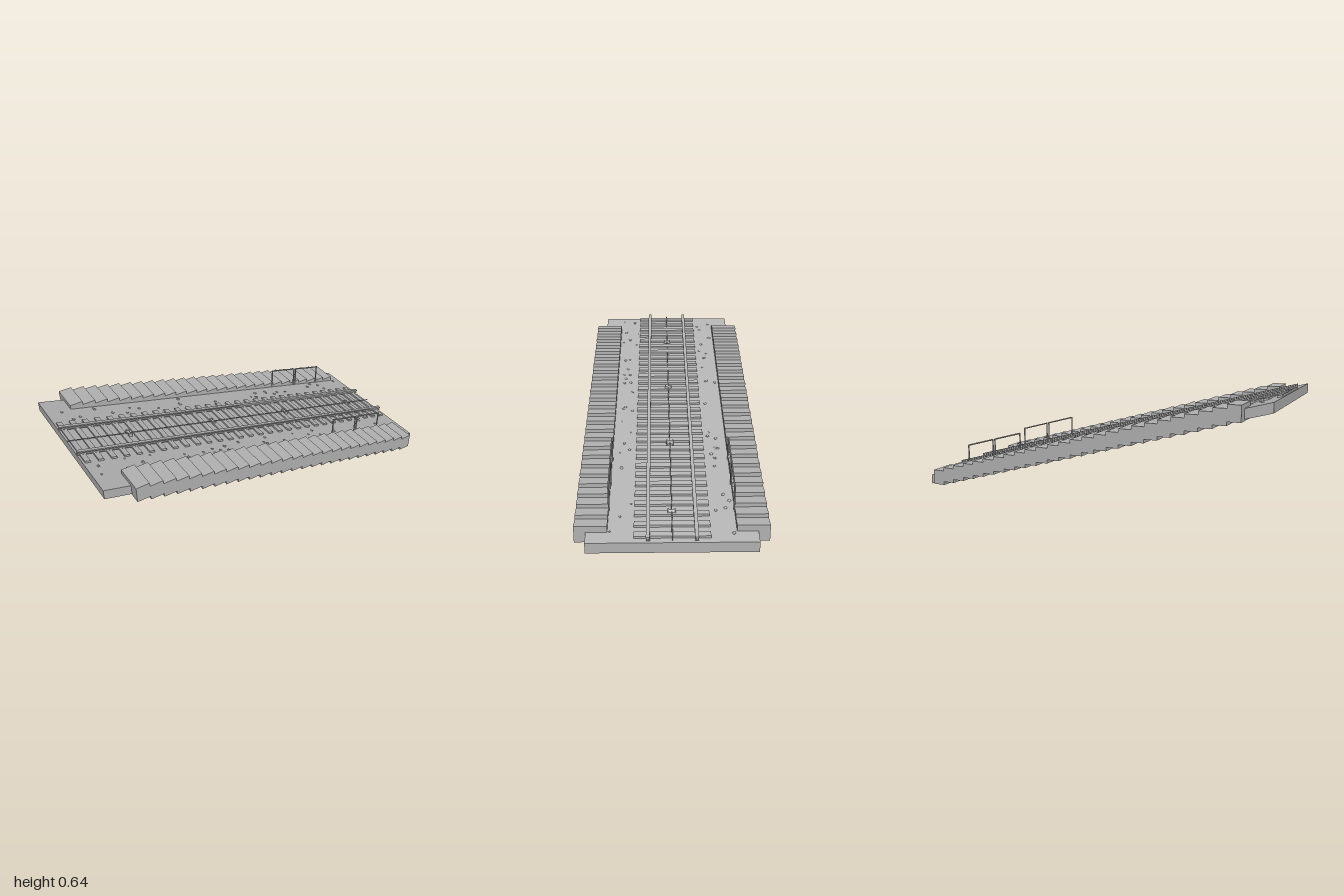
import * as THREE from 'three';

export function createModel() {
  const model = new THREE.Group();
  const concrete = new THREE.MeshStandardMaterial({ color: 0xb2b2b2 });
  concrete.name = 'concrete grey';

  // Parts are laid out flat on the bed (top at y = 0), then sheared down the incline
  const SLOPE = 0.28, MID = 0.332;
  const incline = new THREE.Matrix4().set(
    1, 0, 0, 0,
    -SLOPE, 1, 0, MID,
    0, 0, 1, 0,
    0, 0, 0, 1);
  const bedY = (x) => MID - SLOPE * x;

  function add(name, geometry, parent = model) {
    const mesh = new THREE.Mesh(geometry, concrete);
    mesh.name = name;
    parent.add(mesh);
    return mesh;
  }
  function group(name) {
    const g = new THREE.Group();
    g.name = name;
    model.add(g);
    return g;
  }
  const box = (w, h, d, x, y, z) => new THREE.BoxGeometry(w, h, d).translate(x, y, z);
  const sloped = (geometry) => geometry.applyMatrix4(incline);

  // Sloping track bed
  add('trackBed', sloped(box(2, 0.052, 0.8, 0, -0.026, 0)));

  // Sleepers
  const sleepers = group('sleepers');
  for (let i = 0; i < 30; i++) {
    add('sleeper', sloped(box(0.028, 0.012, 0.356, -0.975 + i * 0.0667, 0.005, 0)), sleepers);
  }

  // Rails with a foot, web and head
  const half = [[0.009, 0.009], [0.009, 0.012], [0.003, 0.014], [0.003, 0.02], [0.009, 0.022], [0.009, 0.029]];
  const outline = [...half, ...half.map(([z, y]) => [-z, y]).reverse()];
  const profile = new THREE.Shape(outline.map(([z, y]) => new THREE.Vector2(z, y)));
  for (const side of [1, -1]) {
    const rail = new THREE.ExtrudeGeometry(profile, { depth: 2, bevelEnabled: false });
    rail.translate(0, 0, -1).rotateY(Math.PI / 2).translate(0, 0, side * 0.112);
    add(side > 0 ? 'leftRail' : 'rightRail', sloped(rail));
  }

  // Haulage cable and its guide pulleys
  const cable = new THREE.CylinderGeometry(0.0025, 0.0025, 2, 8).rotateZ(Math.PI / 2).translate(0, 0.014, 0);
  add('cable', sloped(cable));
  const pulleys = group('pulleys');
  for (const x of [-0.68, -0.18, 0.32, 0.82]) {
    for (const z of [-0.016, 0.016]) add('pulleyBracket', sloped(box(0.02, 0.02, 0.006, x, 0.011, z)), pulleys);
    const roller = new THREE.CylinderGeometry(0.008, 0.008, 0.03, 12).rotateX(Math.PI / 2).translate(x, 0.011, 0);
    add('pulleyRoller', sloped(roller), pulleys);
  }

  // Stairs on both sides: overlapping level blocks
  const STEPS = 26, pitch = 1.8 / STEPS, rise = 0.495 / (STEPS - 1);
  for (const side of [1, -1]) {
    const stairs = group(side > 0 ? 'leftStairs' : 'rightStairs');
    for (let i = 0; i < STEPS; i++) {
      const x = -0.865 + pitch * (i + 0.5);
      add('step', box(pitch, 0.083, 0.155, x, 0.5555 - rise * i, side * 0.3775), stairs);
    }
  }

  // Handrails: two hoops beside each stair
  const bar = (a, b) => new THREE.TubeGeometry(new THREE.LineCurve3(a, b), 1, 0.004, 8, false);
  for (const side of [1, -1]) {
    const rails = group(side > 0 ? 'leftHandrails' : 'rightHandrails');
    for (const [x0, x1] of [[0.443, 0.614], [0.628, 0.8]]) {
      const point = (x, lift) => new THREE.Vector3(x, bedY(x) + lift, side * 0.299);
      const a = point(x0, 0.122), b = point(x1, 0.122);
      add('handrailPost', bar(point(x0, 0), a), rails);
      add('handrailPost', bar(point(x1, 0), b), rails);
      add('handrailBar', bar(a, b), rails);
      for (const p of [a, b]) add('handrailCorner', new THREE.SphereGeometry(0.004, 8, 6).translate(p.x, p.y, p.z), rails);
    }
  }

  // Small loose stones on the bed
  let seed = 7;
  const random = () => (seed = (seed * 16807) % 2147483647) / 2147483647;
  const stones = group('stones');
  for (let i = 0; i < 56; i++) {
    const r = 0.005 + random() * 0.005;
    const stone = new THREE.IcosahedronGeometry(r, 0).rotateY(random() * 6).scale(1, 0.6, 1);
    stone.translate(-0.96 + random() * 1.92, 0.001, (i % 2 ? 1 : -1) * (0.19 + random() * 0.1));
    add('stone', sloped(stone), stones);
  }

  return model;
}
